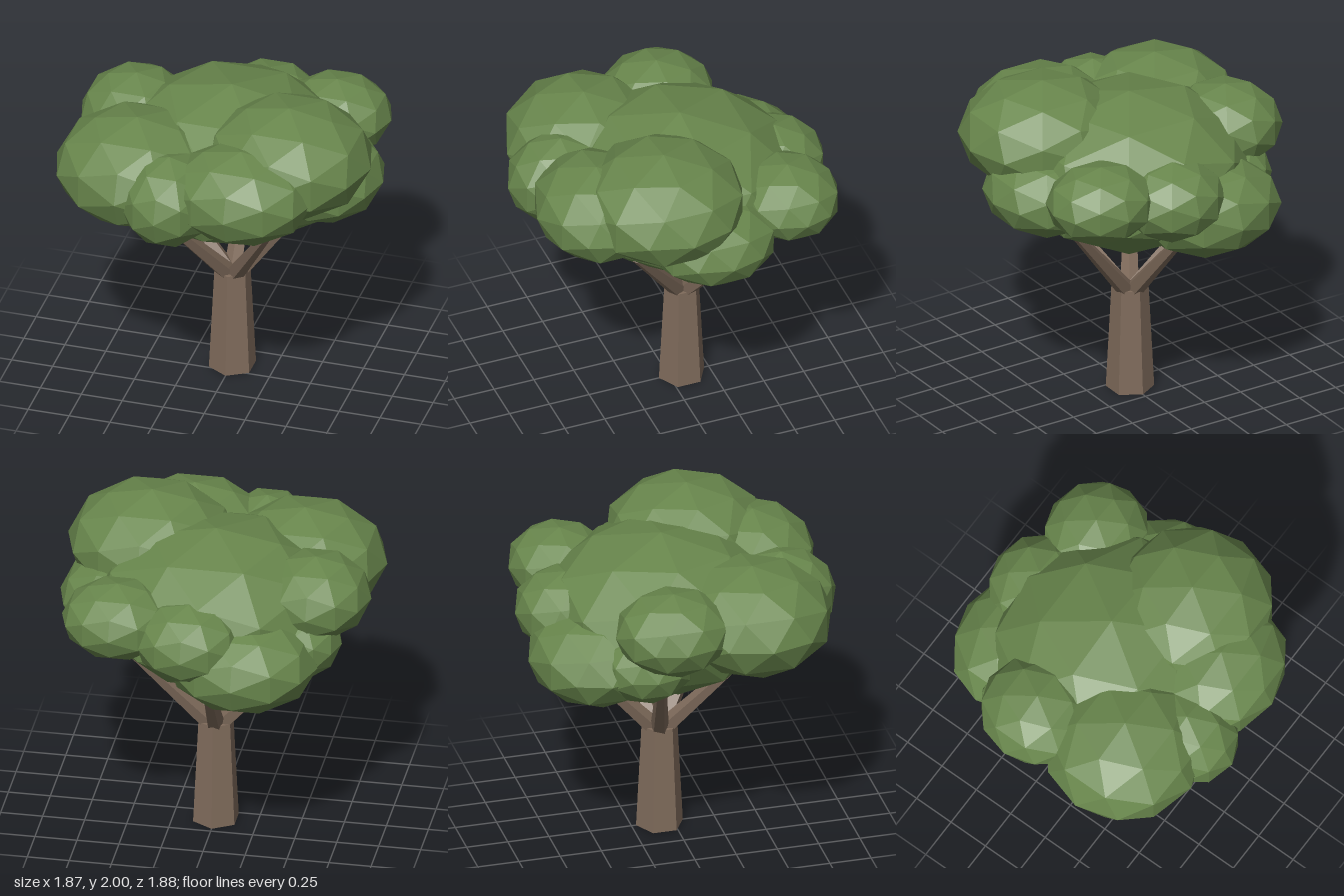
import * as THREE from 'three';

const bark = new THREE.MeshStandardMaterial({ color: 0x7f6b5b, flatShading: true });
bark.name = 'bark brown';
const leaf = new THREE.MeshStandardMaterial({ color: 0x68864c, flatShading: true });
leaf.name = 'leaf green';

// Tapered limb running from one point to another
function limb(name, from, to, r0, r1, sides) {
  const dir = to.clone().sub(from);
  const mesh = new THREE.Mesh(new THREE.CylinderGeometry(r1, r0, dir.length(), sides), bark);
  mesh.name = name;
  mesh.position.copy(from).addScaledVector(dir, 0.5);
  mesh.quaternion.setFromUnitVectors(new THREE.Vector3(0, 1, 0), dir.normalize());
  return mesh;
}

// Leaf clumps: name, centre, radii
const CLUMPS = [
  ['crownCore', [0, 1.455, -0.07], [0.73, 0.475, 0.71]],
  ['crownTop', [0.43, 1.67, 0.2], [0.5, 0.33, 0.49]],
  ['clumpBackRight', [0.5, 1.54, -0.55], [0.33, 0.23, 0.31]],
  ['clumpRight', [0.57, 1.43, -0.05], [0.36, 0.255, 0.39]],
  ['clumpFrontRight', [0.24, 1.59, 0.55], [0.44, 0.285, 0.37]],
  ['clumpFront', [-0.18, 1.52, 0.61], [0.29, 0.28, 0.33]],
  ['clumpFrontLeft', [-0.45, 1.55, 0.36], [0.49, 0.33, 0.48]],
  ['clumpLeft', [-0.61, 1.6, -0.16], [0.33, 0.25, 0.35]],
  ['clumpBackLeft', [-0.24, 1.32, -0.55], [0.45, 0.28, 0.39]],
  ['clumpBack', [0.06, 1.48, -0.64], [0.32, 0.24, 0.3]],
  ['clumpLowLeft', [-0.53, 1.36, -0.3], [0.26, 0.22, 0.28]],
];

export function createModel() {
  const tree = new THREE.Group();
  tree.name = 'tree';
  const v = (x, y, z) => new THREE.Vector3(x, y, z);
  const trunkZ = -0.08;

  // Six-sided trunk
  tree.add(limb('trunk', v(0, 0, trunkZ), v(0, 0.66, trunkZ), 0.142, 0.109, 6));

  // Five branches fanning out evenly, the first almost straight back
  for (let i = 0; i < 5; i++) {
    const a = Math.PI + 0.07 + (i * 2 * Math.PI) / 5;
    const at = (d, y) => v(Math.sin(a) * d, y, trunkZ + Math.cos(a) * d);
    tree.add(limb('branch' + (i + 1), at(0.04, 0.65), at(0.55, 1.22), 0.056, 0.03, 5));
  }

  // Faceted canopy
  const canopy = new THREE.Group();
  canopy.name = 'canopy';
  const ball = new THREE.IcosahedronGeometry(1, 1);
  for (const [name, centre, radii] of CLUMPS) {
    const clump = new THREE.Mesh(ball, leaf);
    clump.name = name;
    clump.position.set(...centre);
    clump.scale.set(...radii);
    canopy.add(clump);
  }
  tree.add(canopy);
  return tree;
}
